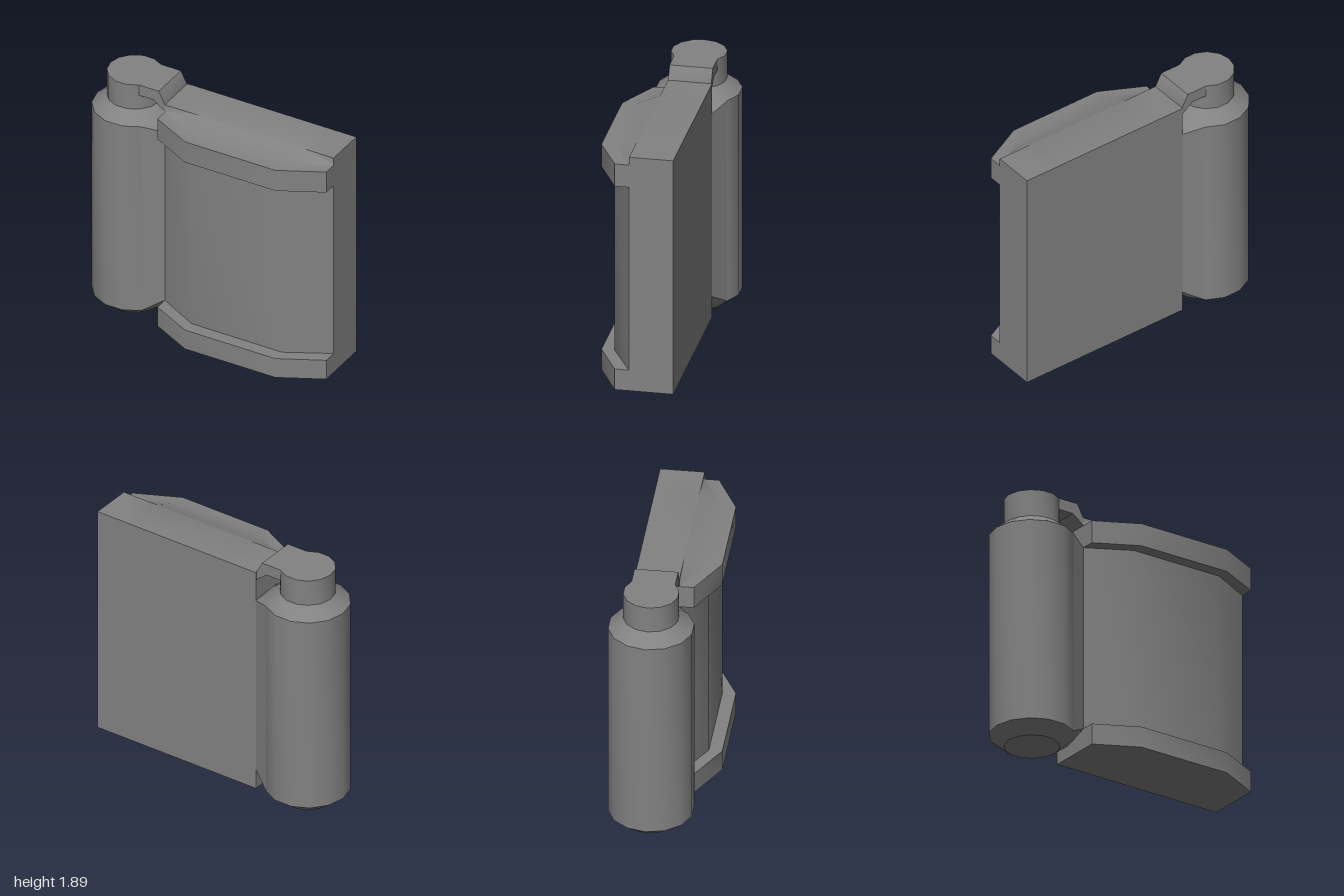
import * as THREE from 'three';
import { toCreasedNormals } from 'three/addons/utils/BufferGeometryUtils.js';

const material = new THREE.MeshStandardMaterial({ color: 0x828282 });

// Upright prism from an [x, z] outline
function prism(outline, y0, y1) {
  const shape = new THREE.Shape(outline.map(([x, z]) => new THREE.Vector2(x, -z)));
  const geo = new THREE.ExtrudeGeometry(shape, { depth: y1 - y0, bevelEnabled: false });
  return geo.rotateX(-Math.PI / 2).translate(0, y0, 0);
}

export function createModel() {
  const group = new THREE.Group();
  const add = (name, geo, crease = 0.6) => {
    const mesh = new THREE.Mesh(toCreasedNormals(geo, crease), material);
    mesh.name = name;
    group.add(mesh);
  };

  const left = -0.365, right = 1, back = -0.222, front = 0.093;
  const cx = -0.697, cz = -0.062, radius = 0.303, neck = 0.197, sides = 14;

  // Canister with chamfered ends and a narrower neck
  const profile = [[0, 0], [neck, 0], [radius, 0.082], [radius, 1.61], [neck, 1.69], [neck, 1.89], [0, 1.89]];
  const canister = new THREE.LatheGeometry(profile.map(p => new THREE.Vector2(...p)), sides, Math.PI / 2);
  canister.translate(cx, 0, cz);
  add('canister', canister);

  // Bridge that blends the canister into the panel's side
  const outline = [[left, back], [left, front]];
  for (let i = 2; i >= -2; i--) {
    const a = (i * 2 * Math.PI) / sides;
    outline.push([cx + radius * Math.cos(a), cz + radius * Math.sin(a)]);
  }
  const bridge = prism(outline, 0.082, 1.61);
  const pos = bridge.attributes.position;
  for (let i = 0; i < pos.count; i++) {
    if (pos.getX(i) > left - 0.01) pos.setY(i, pos.getY(i) > 1 ? 1.565 : 0.17);
  }
  add('canisterBridge', bridge);

  // Bent arm from the neck to the panel's top corner
  const armShape = new THREE.Shape([
    [-0.6, 1.805], [-0.455, 1.805], [left, 1.735], [left, 1.795], [-0.415, 1.89], [-0.6, 1.89],
  ].map(p => new THREE.Vector2(...p)));
  const arm = new THREE.ExtrudeGeometry(armShape, { depth: 0.308, bevelEnabled: false });
  arm.translate(0, 0, -0.216);
  add('neckArm', arm);

  // Panel with a faceted bulging front
  const bulge = [[left, front], [-0.05, 0.26], [0.68, 0.26], [right, front]];
  add('panel', prism([[left, back], ...bulge, [right, back]], 0.17, 1.565));

  // Protruding rail along the bottom
  const rail = [[left, 0.195], [-0.05, 0.355], [0.68, 0.355], [right, 0.195]];
  add('bottomRail', prism([[left, back], ...rail, [right, back]], 0.013, 0.17));

  // Top rail: a closed loop of rows, with a soft slope up to the straight top edge
  const crest = [left, -0.09, 0.72, right];
  const rows = [
    rail.map(([x, z]) => [x, 1.565, z]),
    rail.map(([x, z]) => [x, 1.735, z]),
    bulge.map(([x, z]) => [x, 1.735, z]),
    crest.map(x => [x, 1.795, front]),
    crest.map(x => [x, 1.795, back]),
    crest.map(x => [x, 1.565, back]),
  ];
  const index = [];
  for (let r = 0; r < rows.length; r++) {
    const next = (r + 1) % rows.length;
    for (let i = 0; i < 3; i++) {
      const a = r * 4 + i, b = a + 1, d = next * 4 + i, c = d + 1;
      index.push(...(i < 2 ? [a, b, c, a, c, d] : [a, b, d, b, c, d]));
    }
  }
  const topRail = new THREE.BufferGeometry();
  topRail.setAttribute('position', new THREE.Float32BufferAttribute(rows.flat(2), 3));
  topRail.setIndex(index);
  add('topRail', topRail, 1.3);

  // Flat ends closing the top rail
  for (const [col, side] of [[0, -1], [3, 1]]) {
    const section = new THREE.Shape(rows.map(row => new THREE.Vector2(-side * row[col][2], row[col][1])));
    const end = new THREE.ShapeGeometry(section);
    end.rotateY((side * Math.PI) / 2).translate(rows[0][col][0], 0, 0);
    add('topRailEnd', end);
  }

  return group;
}
